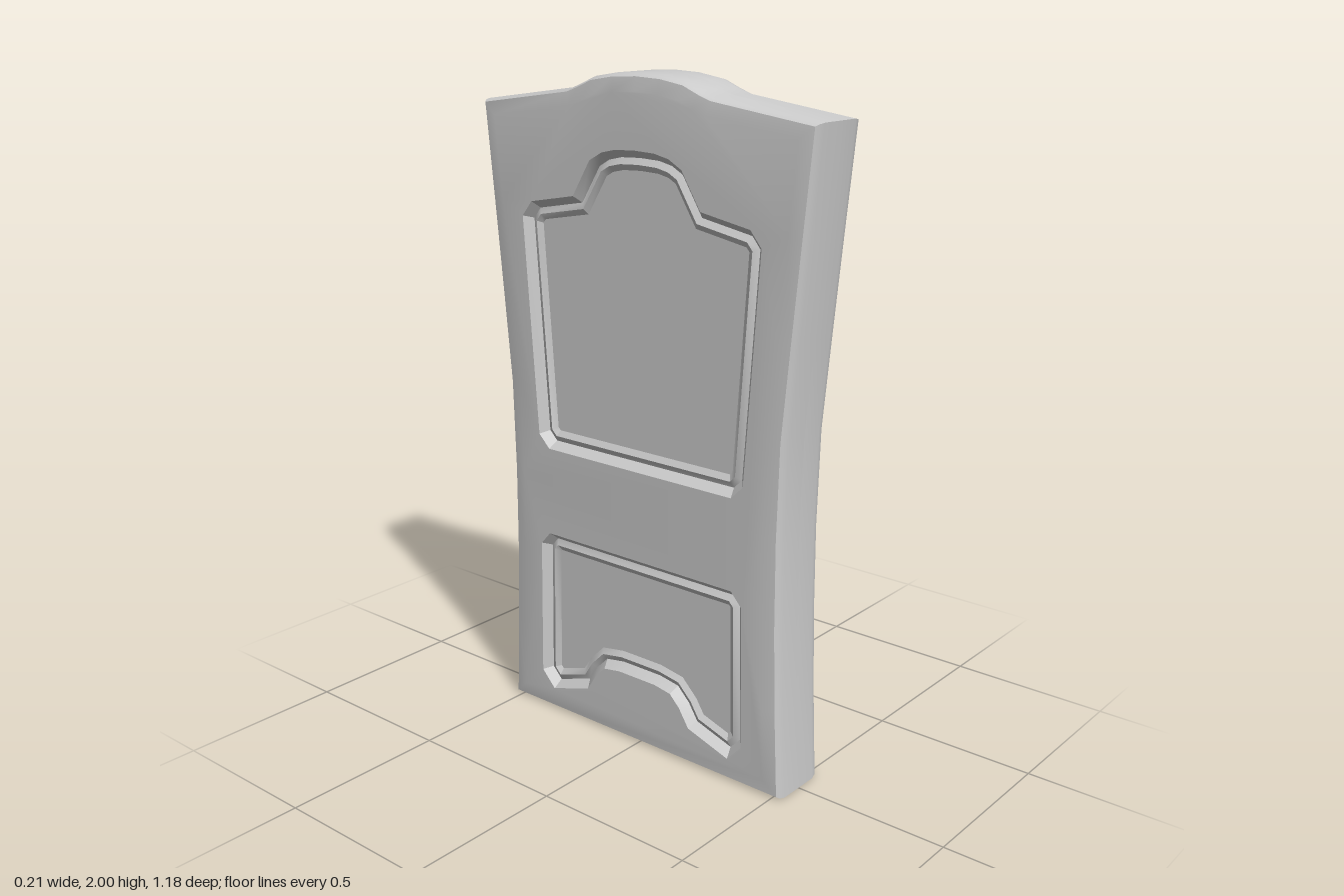
import * as THREE from 'three';
import { mergeGeometries, toCreasedNormals } from 'three/addons/utils/BufferGeometryUtils.js';

const V = (x, y) => new THREE.Vector2(x, y);

// Right half of an outline, bottom to top, mirrored into a full counter-clockwise loop
function mirrored(half) {
  const right = half.map(([x, y]) => V(x, y));
  const left = right.filter(p => p.x > 0).map(p => V(-p.x, p.y)).reverse();
  return [...right, ...left];
}

// Mitred inward offset of a counter-clockwise loop
function inset(loop, d) {
  const n = loop.length;
  return loop.map((p, i) => {
    const a = p.clone().sub(loop[(i + n - 1) % n]).normalize();
    const b = loop[(i + 1) % n].clone().sub(p).normalize();
    const na = V(-a.y, a.x), nb = V(-b.y, b.x);
    const k = d / (1 + na.dot(nb));
    return V(p.x + (na.x + nb.x) * k, p.y + (na.y + nb.y) * k);
  });
}

// Bands of quads through a list of [inset, depth] steps
function bands(loop, steps) {
  const pos = [];
  const rings = steps.map(([d, z]) => inset(loop, d).map(p => [p.x, p.y, z]));
  for (let r = 0; r < rings.length - 1; r++) {
    for (let i = 0; i < loop.length; i++) {
      const j = (i + 1) % loop.length;
      const a = rings[r][i], b = rings[r][j], c = rings[r + 1][j], d = rings[r + 1][i];
      pos.push(...a, ...b, ...c, ...a, ...c, ...d);
    }
  }
  const g = new THREE.BufferGeometry();
  g.setAttribute('position', new THREE.Float32BufferAttribute(pos, 3));
  return g;
}

// Flat sheet filling a loop, with optional holes
function sheet(loop, z, holes = []) {
  const s = new THREE.Shape(loop);
  s.holes = holes.map(h => new THREE.Path(h));
  const g = new THREE.ShapeGeometry(s).toNonIndexed().translate(0, 0, z);
  g.deleteAttribute('uv');
  g.deleteAttribute('normal');
  return g;
}

const outline = mirrored([
  [0.527, 0], [0.514, 0.27], [0.506, 0.52], [0.504, 0.78], [0.511, 1.06],
  [0.536, 1.33], [0.563, 1.61], [0.592, 1.902], [0.255, 1.948], [0.215, 1.962],
  [0.165, 1.983], [0.085, 1.996], [0, 2],
]);

const upper = mirrored([
  [0.345, 0.875], [0.385, 0.915], [0.432, 1.575], [0.395, 1.62], [0.23, 1.65],
  [0.165, 1.755], [0.12, 1.78], [0.07, 1.791], [0, 1.794],
]);

const lower = mirrored([
  [0, 0.22], [0.07, 0.22], [0.13, 0.21], [0.165, 0.175], [0.2, 0.12],
  [0.345, 0.073], [0.394, 0.125], [0.386, 0.56], [0.35, 0.6],
]);

export function createModel() {
  const group = new THREE.Group();
  const material = new THREE.MeshStandardMaterial({ color: 0xcccccc });
  const FACE = 0.104;

  function add(name, parts, crease) {
    const g = toCreasedNormals(mergeGeometries(parts), crease).rotateY(Math.PI / 2);
    for (const turn of [0, Math.PI]) {
      const mesh = new THREE.Mesh(g, material);
      mesh.name = name + (turn ? 'RightSide' : 'LeftSide');
      mesh.rotation.y = turn;
      group.add(mesh);
    }
  }

  // Slab half: edge wall, bevel, gentle pillow, then the broad face
  const rim = 0.05;
  add('body', [
    bands(outline, [[0, 0], [0, 0.07], [0.004, 0.088], [0.01, 0.097], [rim, FACE]]),
    sheet(inset(outline, rim), FACE, [upper, lower]),
  ], 0.6);

  // Recessed panels framed by a groove and a raised bead
  for (const [name, loop] of [['upperPanel', upper], ['lowerPanel', lower]]) {
    add(name, [
      bands(loop, [[0, FACE], [0.022, 0.078], [0.04, 0.088], [0.057, 0.077]]),
      sheet(inset(loop, 0.057), 0.077),
    ], 0.4);
  }
  return group;
}
